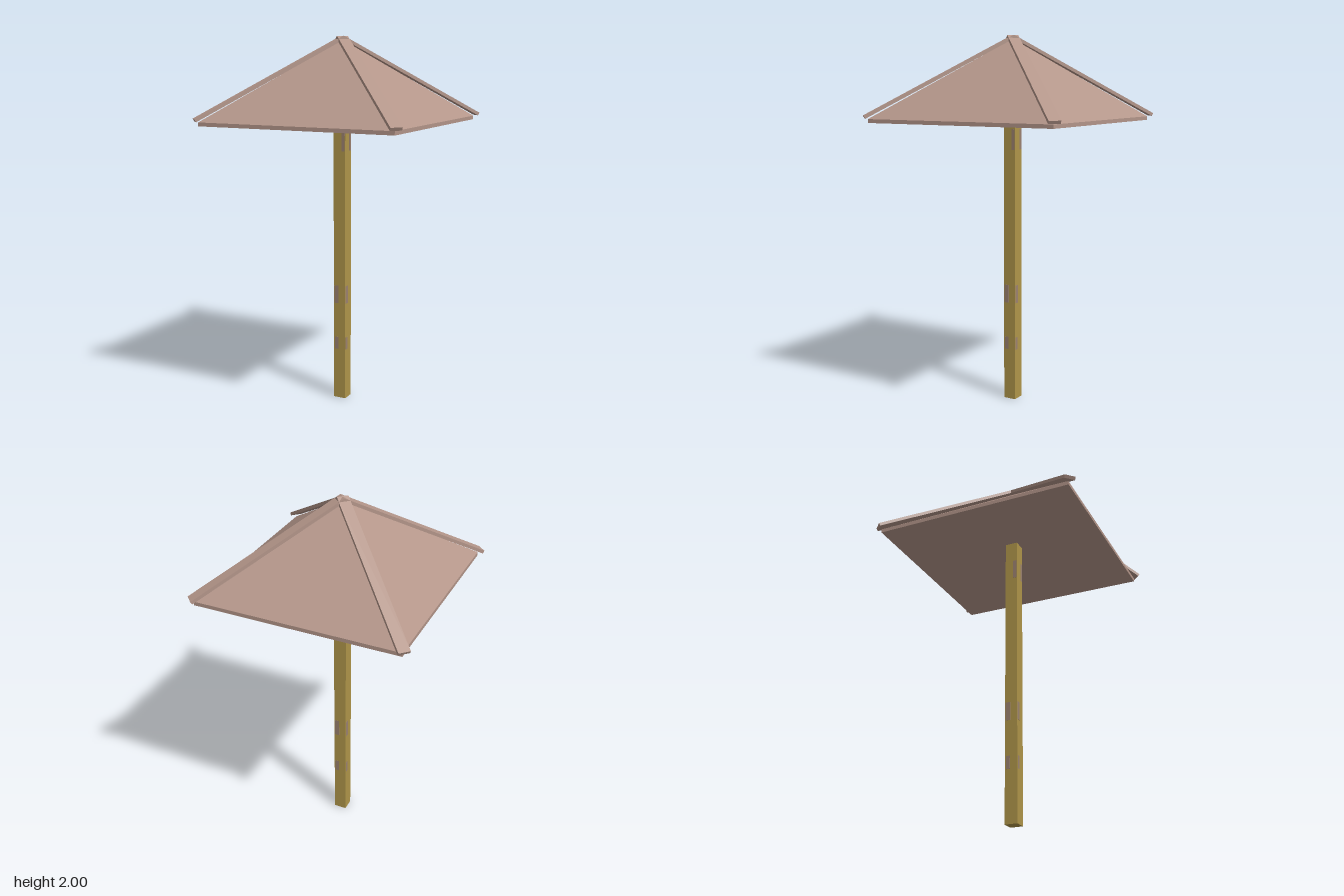
import * as THREE from 'three';

const mat = (name, color) => {
  const m = new THREE.MeshStandardMaterial({ color, flatShading: true });
  m.name = name;
  return m;
};

export function createModel() {
  const model = new THREE.Group();
  model.name = 'parasol';
  const roofBrown = mat('roofBrown', 0xb4968a);
  const postOchre = mat('postOchre', 0xb0964a);
  const wornMauve = mat('wornMauve', 0x9c8270);

  const add = (parent, name, geometry, material, x = 0, y = 0, z = 0) => {
    const mesh = new THREE.Mesh(geometry, material);
    mesh.name = name;
    mesh.position.set(x, y, z);
    parent.add(mesh);
    return mesh;
  };

  // Square post, ending just inside the hollow roof
  const postWidth = 0.07, postTop = 1.62;
  add(model, 'post', new THREE.BoxGeometry(postWidth, postTop, postWidth), postOchre, 0, postTop / 2, 0);

  // Hollow four-sided roof: inner slope, thin rim, outer slope
  const corner = 0.546 * Math.SQRT2;
  const profile = [[0, 1.96], [corner, 1.545], [corner, 1.565], [0, 1.98]]
    .map(([r, y]) => new THREE.Vector2(r, y));
  add(model, 'roof', new THREE.LatheGeometry(profile, 4, Math.PI / 4), roofBrown);

  // Flat boards along the four hips, meeting at the peak
  const reach = 0.795, drop = 0.417, thickness = 0.017;
  const slope = Math.atan2(drop, reach);
  const length = Math.hypot(reach, drop);
  const boardGeometry = new THREE.BoxGeometry(length, thickness, 0.06);
  boardGeometry.translate(length / 2, -thickness / 2, 0);

  // Worn patches on each post side: x, y, width, height
  const patches = [[-0.018, 0.6, 0.026, 0.1], [-0.018, 0.32, 0.022, 0.07], [0.022, 1.45, 0.02, 0.11]];

  for (let i = 0; i < 4; i++) {
    const hip = new THREE.Group();
    hip.name = 'hip' + (i + 1);
    hip.rotation.y = Math.PI / 4 + i * Math.PI / 2;
    add(hip, 'hipBoard', boardGeometry, roofBrown, 0, 2, 0).rotation.z = -slope;
    model.add(hip);

    const side = new THREE.Group();
    side.name = 'postSide' + (i + 1);
    side.rotation.y = i * Math.PI / 2;
    for (const [x, y, w, h] of patches) {
      add(side, 'wornPatch', new THREE.BoxGeometry(w, h, 0.002), wornMauve, x, y, postWidth / 2);
    }
    model.add(side);
  }
  return model;
}
